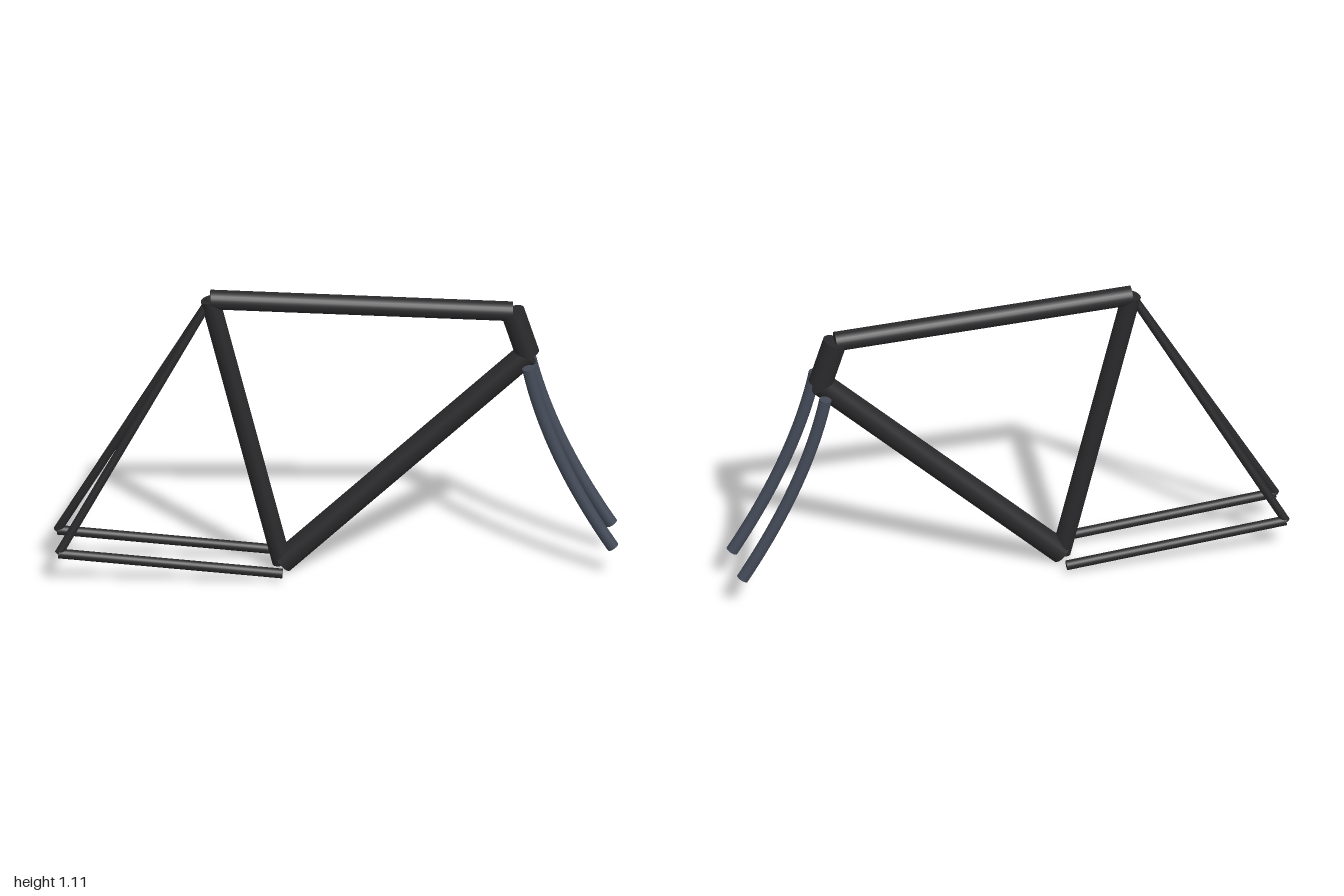
import * as THREE from 'three';

const V = (x, y, z = 0) => new THREE.Vector3(x, y, z);

export function createModel() {
  const model = new THREE.Group();
  model.name = 'bicycleFrame';
  const frameMat = new THREE.MeshStandardMaterial({ color: 0x29292b });
  const forkMat = new THREE.MeshStandardMaterial({ color: 0x434a57 });

  // Straight closed tube between two points
  function tube(name, a, b, radius) {
    const dir = b.clone().sub(a);
    const mesh = new THREE.Mesh(new THREE.CylinderGeometry(radius, radius, dir.length(), 24), frameMat);
    mesh.position.copy(a).add(b).multiplyScalar(0.5);
    mesh.quaternion.setFromUnitVectors(V(0, 1), dir.normalize());
    mesh.name = name;
    model.add(mesh);
  }

  // Curved tube with a flat disc on each end
  function curvedTube(name, curve, radius) {
    const group = new THREE.Group();
    group.name = name;
    group.add(new THREE.Mesh(new THREE.TubeGeometry(curve, 32, radius, 20), forkMat));
    for (const t of [0, 1]) {
      const cap = new THREE.Mesh(new THREE.CircleGeometry(radius, 20), forkMat);
      cap.position.copy(curve.getPoint(t));
      cap.quaternion.setFromUnitVectors(V(0, 0, 1), curve.getTangent(t).multiplyScalar(t ? 1 : -1));
      group.add(cap);
    }
    model.add(group);
  }

  // Joints of the frame
  const crank = V(-0.193, 0.033);
  const seat = V(-0.447, 1.073);
  const headTop = V(0.624, 1.013);
  const headBottom = V(0.677, 0.845);

  // Main triangle
  tube('topTube', seat, headTop, 0.035);
  tube('seatTube', crank, seat, 0.034);
  tube('downTube', crank, headBottom, 0.043);
  tube('headTube', headTop, headBottom, 0.043);

  // Rear stays and fork blades on both sides
  for (const [side, z] of [['front', 0.094], ['back', -0.094]]) {
    const axle = V(-0.985, 0.122, z);
    tube(side + 'ChainStay', V(crank.x, crank.y, z), axle, 0.0175);
    tube(side + 'SeatStay', seat, axle, 0.015);
    curvedTube(side + 'ForkBlade', new THREE.QuadraticBezierCurve3(
      V(0.677, 0.835, z), V(0.745, 0.495, z), V(0.977, 0.124, z)), 0.022);
  }
  return model;
}
